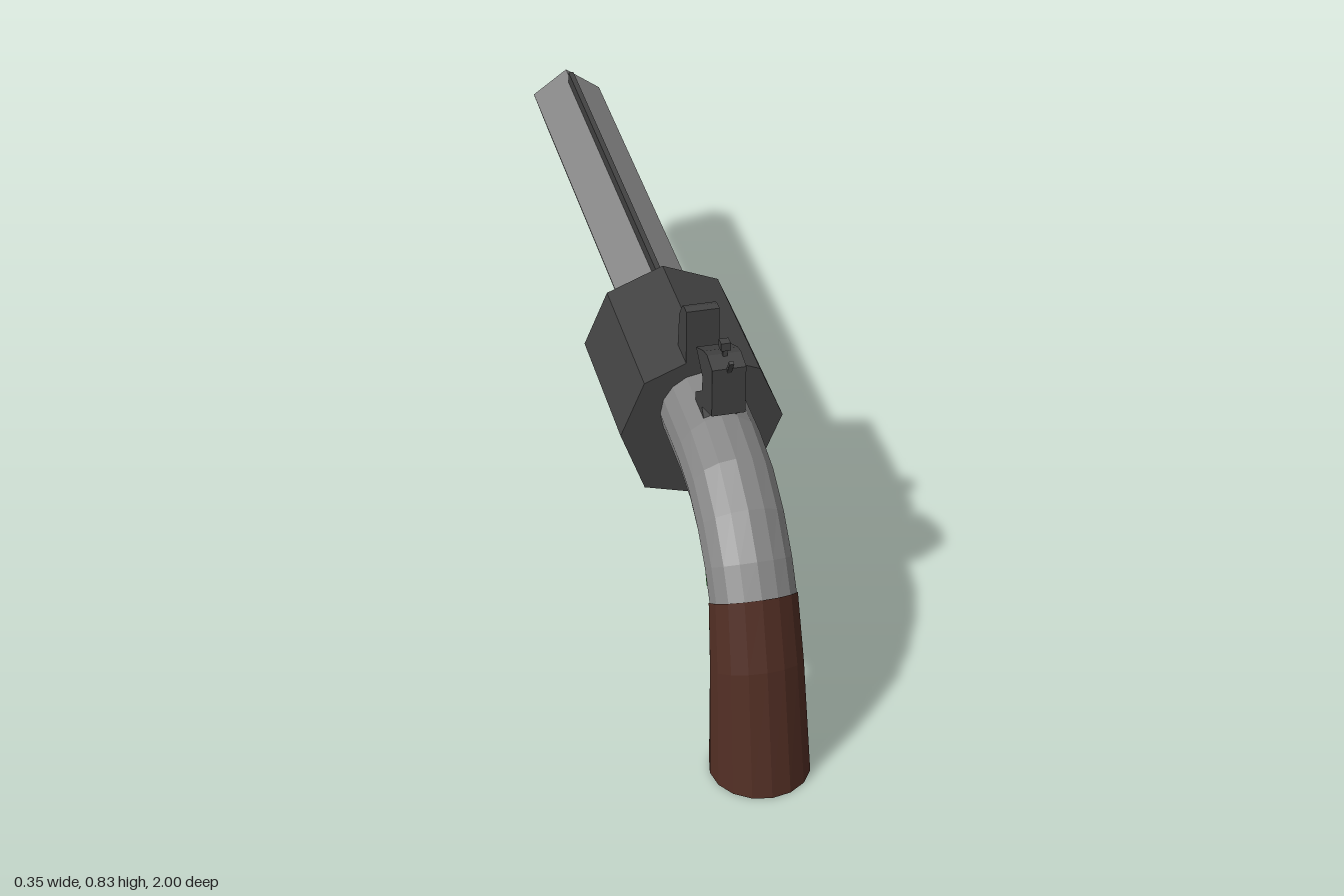
import * as THREE from 'three';

const mat = (name, color) => {
  const m = new THREE.MeshStandardMaterial({ color });
  m.name = name;
  return m;
};

// Faceted normals
const flat = (geo) => {
  const g = geo.index ? geo.toNonIndexed() : geo;
  g.computeVertexNormals();
  return g;
};

// Side profile of [z, y] points, extruded across x and centred on x = 0
function sidePlate(points, width) {
  const shape = new THREE.Shape(points.map(([z, y]) => new THREE.Vector2(z, y)));
  const g = new THREE.ExtrudeGeometry(shape, { depth: width, bevelEnabled: false });
  return g.translate(0, 0, -width / 2).rotateY(-Math.PI / 2);
}

// Round loft; each ring is [outerZ, outerY, innerZ, innerY, halfWidthX]
function loft(rings, sides = 16) {
  const pos = [], index = [];
  for (const [oz, oy, iz, iy, rx] of rings) {
    for (let j = 0; j < sides; j++) {
      const a = (j / sides) * Math.PI * 2, c = Math.cos(a) / 2;
      pos.push(rx * Math.sin(a), (oy + iy) / 2 + (oy - iy) * c, (oz + iz) / 2 + (oz - iz) * c);
    }
  }
  for (let i = 0; i < rings.length - 1; i++) {
    for (let j = 0; j < sides; j++) {
      const k = (j + 1) % sides, a = i * sides, b = a + sides;
      index.push(a + j, b + j, a + k, a + k, b + j, b + k);
    }
  }
  // End cap
  const last = (rings.length - 1) * sides;
  for (let j = 1; j < sides - 1; j++) index.push(last, last + j + 1, last + j);
  const g = new THREE.BufferGeometry();
  g.setAttribute('position', new THREE.Float32BufferAttribute(pos, 3));
  g.setIndex(index);
  return flat(g);
}

export function createModel() {
  const root = new THREE.Group();
  const steel = mat('steel', 0x868686);
  const darkSteel = mat('dark steel', 0x424242);
  const wood = mat('brown wood', 0x502d23);
  const green = mat('green', 0x0cca10);
  const black = mat('black', 0x0a0a0a);

  const add = (name, geo, material, x = 0, y = 0, z = 0) => {
    const m = new THREE.Mesh(geo, material);
    m.name = name;
    m.position.set(x, y, z);
    root.add(m);
    return m;
  };

  // Five-sided barrel with bore and top rib
  const barrel = new THREE.CylinderGeometry(0.086, 0.086, 1.1, 5).rotateX(-Math.PI / 2);
  add('barrel', flat(barrel), steel, 0, 0.539, -0.45);
  add('bore', new THREE.CircleGeometry(0.047, 20).rotateY(Math.PI), black, 0, 0.541, -1.001);
  add('barrelRib', new THREE.BoxGeometry(0.012, 0.034, 0.98), darkSteel, 0, 0.632, -0.45);

  // Eight-sided drum with a slightly uneven underside
  const drum = new THREE.CylinderGeometry(0.175, 0.175, 0.36, 8).rotateX(Math.PI / 2);
  const p = drum.attributes.position;
  for (let i = 0; i < p.count; i++) {
    const x = p.getX(i), y = p.getY(i), z = p.getZ(i);
    if (y < -0.17 && z < 0) p.setY(i, y + 0.017);
    if (y < -0.1 && x < -0.1 && z > 0) p.setY(i, y - 0.017);
  }
  add('drum', flat(drum), darkSteel, 0, 0.507, 0.21);

  // Curved frame and wooden grip
  add('frame', loft([
    [0.36, 0.64, 0.36, 0.46, 0.09],
    [0.55, 0.638, 0.54, 0.458, 0.09],
    [0.67, 0.615, 0.61, 0.45, 0.09],
    [0.77, 0.56, 0.665, 0.425, 0.09],
    [0.845, 0.485, 0.715, 0.39, 0.09],
    [0.888, 0.422, 0.753, 0.338, 0.09],
  ]), steel);
  add('grip', loft([
    [0.89, 0.424, 0.752, 0.338, 0.092],
    [0.94, 0.278, 0.778, 0.2, 0.097],
    [1.0, 0.0, 0.795, 0.002, 0.105],
  ]), wood);

  // Hammer with its spur, post and cap
  add('hammer', sidePlate([
    [0.606, 0.79], [0.606, 0.68], [0.526, 0.65], [0.545, 0.625], [0.47, 0.625],
    [0.473, 0.653], [0.526, 0.69], [0.527, 0.725], [0.473, 0.762], [0.537, 0.793], [0.565, 0.8],
  ], 0.07), darkSteel);
  add('hammerPost', new THREE.BoxGeometry(0.009, 0.04, 0.009), darkSteel, 0, 0.803, 0.568);
  add('hammerCap', new THREE.BoxGeometry(0.02, 0.018, 0.02), darkSteel, 0, 0.823, 0.568);
  const spur = add('hammerSpur', new THREE.BoxGeometry(0.01, 0.05, 0.007), darkSteel, 0, 0.793, 0.61);
  spur.rotation.x = 0.53;

  // Rear sight on the drum
  add('rearSight', sidePlate([
    [0.39, 0.793], [0.39, 0.66], [0.315, 0.66], [0.327, 0.75], [0.354, 0.787], [0.37, 0.793],
  ], 0.07), darkSteel);

  // Thin tilted guard plate under the frame
  add('guardPlate', sidePlate([
    [0.767, 0.262], [0.451, 0.129], [0.36, 0.36], [0.4, 0.5], [0.66, 0.52],
  ], 0.004), green);

  // Dark trigger details lying on both faces of the plate
  const details = {
    trigger: [[0.545, 0.46], [0.535, 0.425], [0.525, 0.395], [0.512, 0.4], [0.512, 0.46]],
    guardBar: [[0.62, 0.36], [0.605, 0.348], [0.445, 0.348], [0.445, 0.356]],
    guardMark: [[0.68, 0.43], [0.65, 0.415], [0.635, 0.4], [0.622, 0.41], [0.622, 0.45], [0.65, 0.44]],
    guardTip: [[0.622, 0.385], [0.622, 0.36], [0.608, 0.35], [0.612, 0.38]],
  };
  for (const [name, pts] of Object.entries(details)) add(name, sidePlate(pts, 0.008), black);

  return root;
}
